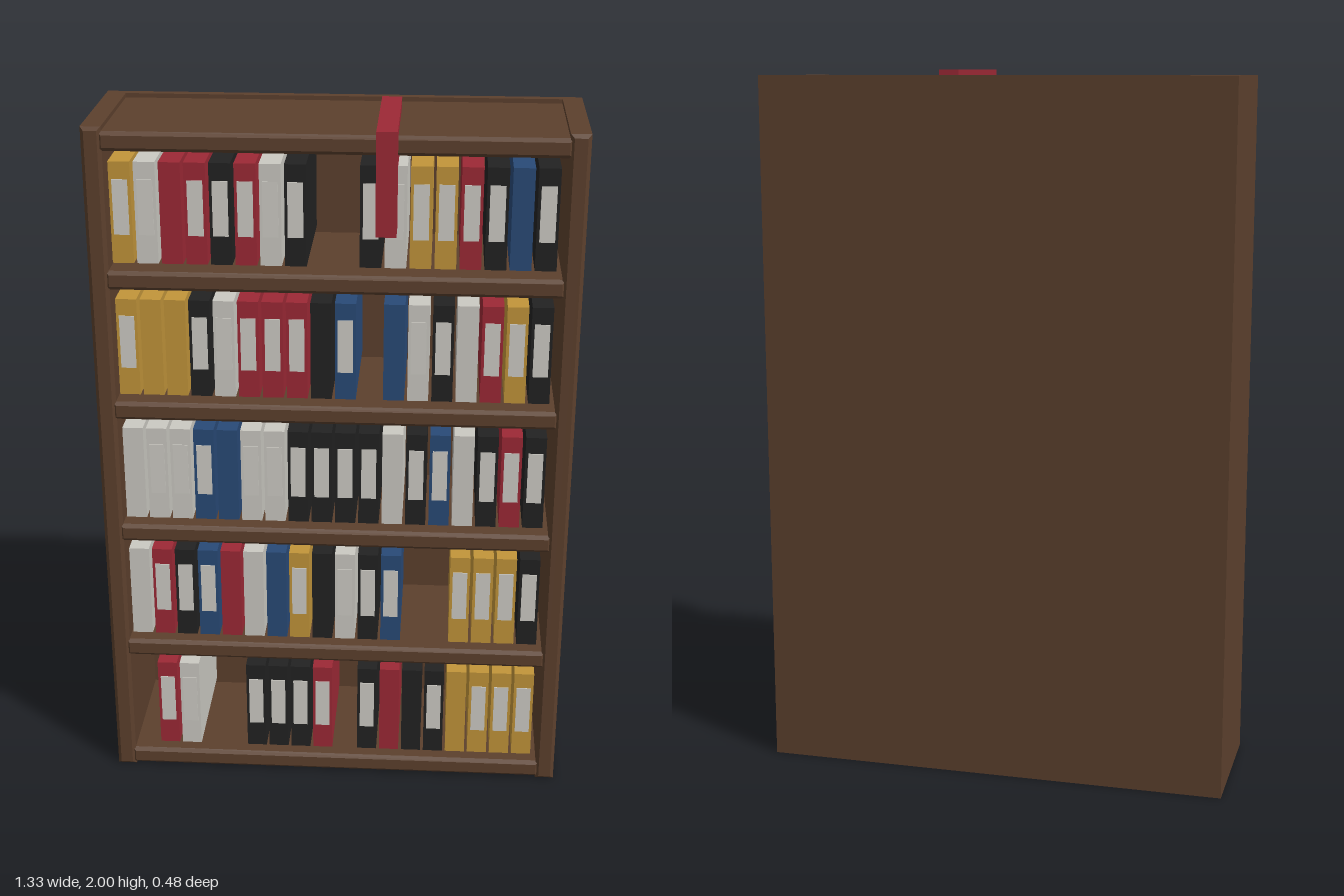
import * as THREE from 'three';

const mat = (name, color) => {
  const m = new THREE.MeshStandardMaterial({ color });
  m.name = name;
  return m;
};

// Box with a single chamfer on every edge, given by its limits
function board(name, material, [x0, x1], [y0, y1], [z0, z1], c = 0.01) {
  const w = (x1 - x0) / 2 - c, h = (y1 - y0) / 2 - c, d = z1 - z0 - 2 * c;
  const shape = new THREE.Shape([
    new THREE.Vector2(-w, -h), new THREE.Vector2(w, -h),
    new THREE.Vector2(w, h), new THREE.Vector2(-w, h),
  ]);
  const geo = new THREE.ExtrudeGeometry(shape, {
    depth: d, bevelEnabled: true, bevelThickness: c, bevelSize: c, bevelSegments: 1,
  });
  geo.translate((x0 + x1) / 2, (y0 + y1) / 2, z0 + c);
  const mesh = new THREE.Mesh(geo, material);
  mesh.name = name;
  return mesh;
}

export function createModel() {
  const model = new THREE.Group();
  model.name = 'bookcase';

  const wood = mat('brown wood', 0x5c402d);
  const label = mat('label white', 0xcfcdc6);
  const covers = {
    y: mat('ochre cover', 0xc2953a),
    w: mat('white cover', 0xcbc9c2),
    r: mat('red cover', 0x9c2935),
    k: mat('black cover', 0x222222),
    b: mat('blue cover', 0x294a77),
  };

  // Case: back panel, two sides, and six boards
  const back = new THREE.Mesh(new THREE.BoxGeometry(1.33, 1.985, 0.027), wood);
  back.name = 'backPanel';
  back.position.set(0, 0.9925, -0.2265);
  model.add(back);
  model.add(board('leftSide', wood, [0.61, 0.665], [0, 1.985], [-0.225, 0.18]));
  model.add(board('rightSide', wood, [-0.665, -0.61], [0, 1.985], [-0.225, 0.18]));
  for (let i = 0; i < 6; i++) {
    const y = i * 0.383;
    model.add(board(i === 5 ? 'topBoard' : i ? 'shelf' : 'bottomBoard', wood,
      [-0.62, 0.62], [y + 0.005, y + 0.058], [-0.225, 0.178]));
  }

  // Books, bottom row first: capital = with spine label, dot = empty slot
  const rows = [
    '.RW..KKKR.KrkKyYYY',
    'wRKBrwbYkWKB..YYYK',
    'wWWBbWWKKKKwKBwKRK',
    'YyyKWRRRkB.bWKwRYK',
    'YWrRKRWK..KWYYRKbK',
  ];
  const pitch = 0.0667, height = 0.28, depth = 0.37, front = 0.16;
  const bookGeo = new THREE.BoxGeometry(0.058, height, depth);
  const labelGeo = new THREE.BoxGeometry(0.042, 0.152, 0.004);
  rows.forEach((row, r) => {
    const shelfBooks = new THREE.Group();
    shelfBooks.name = 'booksRow' + (r + 1);
    shelfBooks.position.y = 0.216 + r * 0.3835;
    [...row].forEach((code, i) => {
      if (code === '.') return;
      const x = (i - 8.5) * pitch - 0.003;
      const book = new THREE.Mesh(bookGeo, covers[code.toLowerCase()]);
      book.name = 'book';
      book.position.set(x, 0, front - depth / 2);
      shelfBooks.add(book);
      if (code !== code.toLowerCase()) {
        const tag = new THREE.Mesh(labelGeo, label);
        tag.name = 'spineLabel';
        tag.position.set(x, 0.016, front + 0.001);
        shelfBooks.add(tag);
      }
    });
    model.add(shelfBooks);
  });

  // Red book sticking out through the top
  const loose = new THREE.Mesh(new THREE.BoxGeometry(0.055, height, 0.395), covers.r);
  loose.name = 'looseBook';
  loose.position.set(0.14, 1.86, 0.0425);
  model.add(loose);

  return model;
}
